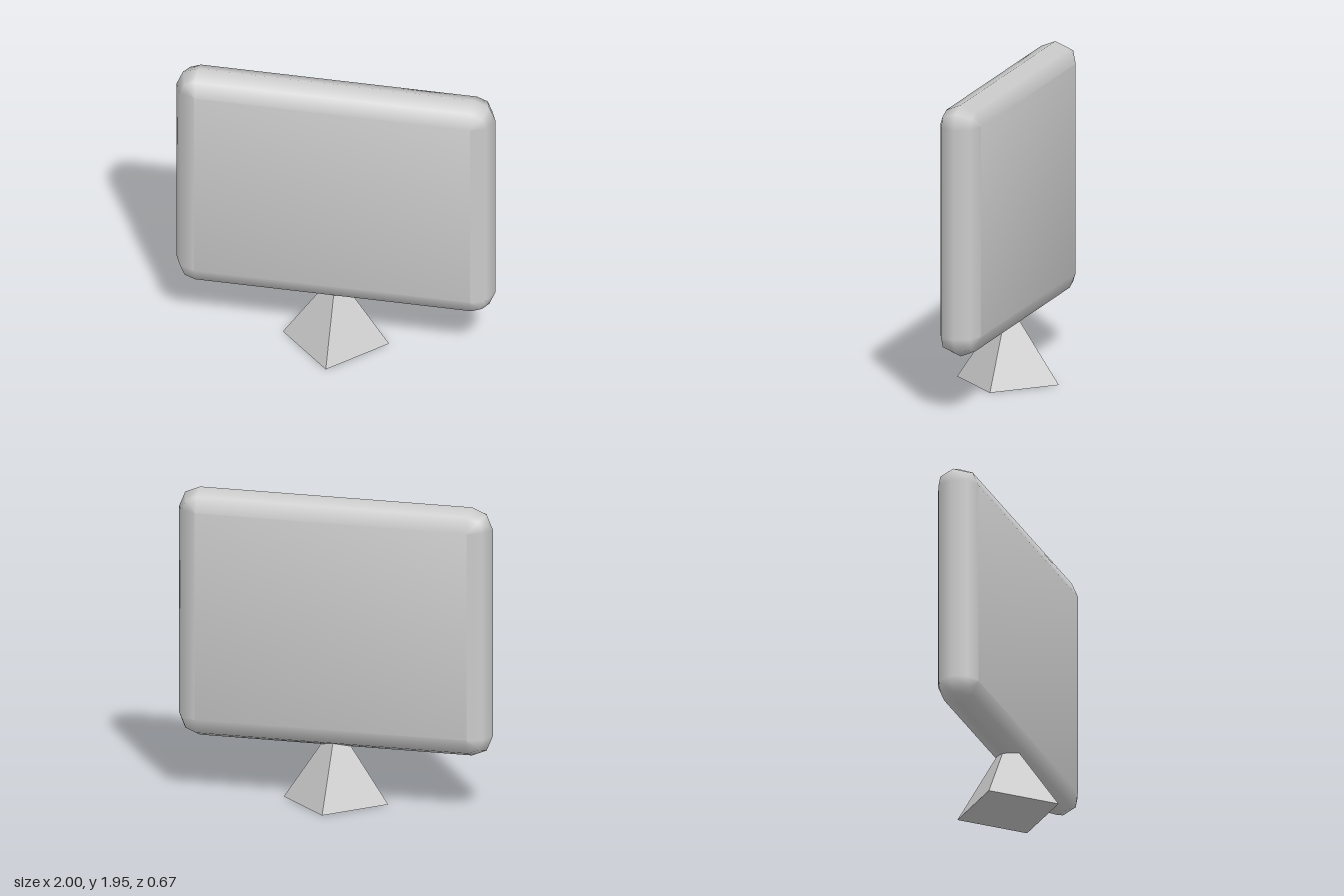
import * as THREE from 'three';

const R = 0.133; // edge radius, equal to half the panel's depth
const SEG = 2; // facets per quarter round

// Slab with fully rounded rim and corners, built from rounded-rectangle rings running back to front
function roundedPanel(halfW, halfH) {
  const pos = [], nor = [], idx = [];
  const signs = [[1, 1], [-1, 1], [-1, -1], [1, -1]];
  const perRing = 4 * (SEG + 1), rings = 2 * SEG + 1;
  for (let j = 0; j < rings; j++) {
    const tilt = -Math.PI / 2 + (j / (rings - 1)) * Math.PI;
    // the flat faces keep slightly outward-leaning normals at their borders
    const lean = THREE.MathUtils.clamp(tilt, -1.37, 1.37);
    signs.forEach(([sx, sy], k) => {
      for (let s = 0; s <= SEG; s++) {
        const a = (k + s / SEG) * Math.PI / 2;
        const c = Math.cos(a), n = Math.sin(a);
        pos.push(
          sx * (halfW - R) + c * R * Math.cos(tilt),
          sy * (halfH - R) + n * R * Math.cos(tilt),
          R * Math.sin(tilt));
        nor.push(c * Math.cos(lean), n * Math.cos(lean), Math.sin(lean));
      }
    });
  }
  for (let j = 0; j < rings - 1; j++) {
    for (let i = 0; i < perRing; i++) {
      const i2 = (i + 1) % perRing;
      const a = j * perRing + i, b = j * perRing + i2;
      const c = b + perRing, d = a + perRing;
      idx.push(a, b, c, a, c, d);
    }
  }
  // flat back and front faces
  const corner = (ring, k) => ring * perRing + k * (SEG + 1) + 1;
  const f = [0, 1, 2, 3].map((k) => corner(rings - 1, k));
  const b = [0, 1, 2, 3].map((k) => corner(0, k));
  idx.push(f[0], f[1], f[2], f[0], f[2], f[3]);
  idx.push(b[0], b[2], b[1], b[0], b[3], b[2]);

  const g = new THREE.BufferGeometry();
  g.setAttribute('position', new THREE.Float32BufferAttribute(pos, 3));
  g.setAttribute('normal', new THREE.Float32BufferAttribute(nor, 3));
  g.setIndex(idx);
  return g;
}

export function createModel() {
  const group = new THREE.Group();
  group.name = 'panelOnStand';
  const grey = new THREE.MeshStandardMaterial({ color: 0xcccccc });
  grey.name = 'lightGrey';

  // Upright rounded panel
  const panel = new THREE.Mesh(roundedPanel(1, 0.798), grey);
  panel.name = 'panel';
  panel.position.y = 1.155;
  group.add(panel);

  // Four-sided pyramid stand with its corners on the axes
  const pyramid = new THREE.ConeGeometry(0.333, 0.5, 4).toNonIndexed();
  pyramid.computeVertexNormals();
  const stand = new THREE.Mesh(pyramid, grey);
  stand.name = 'stand';
  stand.position.y = 0.25;
  group.add(stand);

  return group;
}
